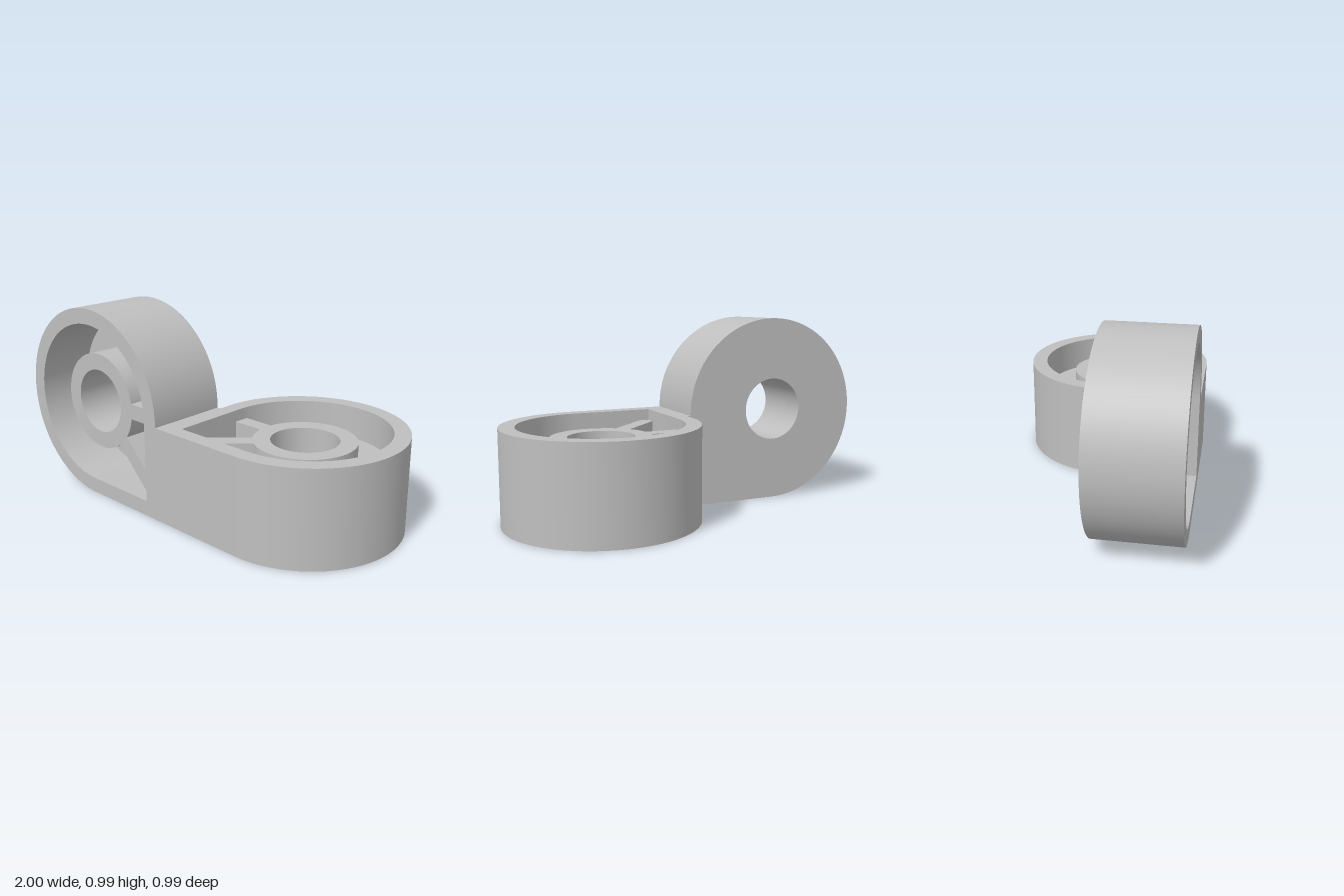
import * as THREE from 'three';
import { toCreasedNormals } from 'three/addons/utils/BufferGeometryUtils.js';

const BORE = 0.167, BOSS = 0.253, INNER = 0.415, OUTER = 0.495;
const RIB = 0.04; // half width of a rib

// Circle with one square corner towards (+x, -y)
function teardrop(Kind, r) {
  const s = new Kind();
  s.moveTo(r, 0);
  s.absarc(0, 0, r, 0, Math.PI * 1.5, false);
  s.lineTo(r, -r);
  s.closePath();
  return s;
}

function withBore(shape) {
  shape.holes.push(new THREE.Path().absarc(0, 0, BORE, 0, Math.PI * 2, true));
  return shape;
}

function polygon(points) {
  return new THREE.Shape(points.map(([x, y]) => new THREE.Vector2(x, y)));
}

export function createModel() {
  const grey = new THREE.MeshStandardMaterial({ color: 0xbfbfbf });
  grey.name = 'grey';

  const slab = (group, name, shape, from, to) => {
    const geo = new THREE.ExtrudeGeometry(shape, { depth: to - from, bevelEnabled: false, curveSegments: 48 });
    geo.translate(0, 0, from);
    const mesh = new THREE.Mesh(toCreasedNormals(geo, 0.5), grey);
    mesh.name = name;
    group.add(mesh);
  };

  // Hub boss and its two ribs, standing in a pocket
  const bossAndRibs = (group, from, to) => {
    const boss = new THREE.Shape().absarc(0, 0, BOSS, 0, Math.PI * 2, false);
    slab(group, 'boss', withBore(boss), from, to);
    slab(group, 'straightRib', polygon([[0.249, -RIB], [INNER, -RIB], [INNER, RIB], [0.249, RIB]]), from, to);
    const d = RIB * Math.SQRT1_2, e = RIB * Math.SQRT2, s = 0.176;
    slab(group, 'cornerRib', polygon([
      [s - d, -s - d], [INNER - e, -INNER], [INNER, -INNER], [INNER, -INNER + e], [s + d, -s + d],
    ]), from, to);
  };

  // Rim wall with a bored web closing it between two depths
  const housing = (name, from, to, webFrom, webTo) => {
    const group = new THREE.Group();
    group.name = name;
    const rim = teardrop(THREE.Shape, OUTER);
    rim.holes.push(teardrop(THREE.Path, INNER));
    slab(group, 'rim', rim, from, to);
    slab(group, 'web', withBore(teardrop(THREE.Shape, INNER)), webFrom, webTo);
    return group;
  };

  const model = new THREE.Group();
  model.name = 'angledBracket';

  // Upright housing, pocket open to the front
  const upright = housing('uprightHousing', 0.07, 0.495, 0.07, 0.2);
  bossAndRibs(upright, 0.2, 0.435);
  upright.position.set(-0.505, 0.495, 0);
  model.add(upright);

  // Flat housing, pockets open above and below a central web
  const half = 0.2425, web = 0.075, recess = 0.06;
  const flat = housing('flatHousing', -half, half, -web, web);
  bossAndRibs(flat, web, half - recess);
  bossAndRibs(flat, -half + recess, -web);
  flat.quaternion.setFromRotationMatrix(new THREE.Matrix4().makeBasis(
    new THREE.Vector3(-1, 0, 0), new THREE.Vector3(0, 0, -1), new THREE.Vector3(0, -1, 0)));
  flat.position.set(0.505, half, 0);
  model.add(flat);

  // Solid joint between the two housings
  const joint = new THREE.Mesh(new THREE.BoxGeometry(0.02, 2 * half, 0.425), grey);
  joint.name = 'joint';
  joint.position.set(0, half, 0.2825);
  model.add(joint);

  return model;
}
